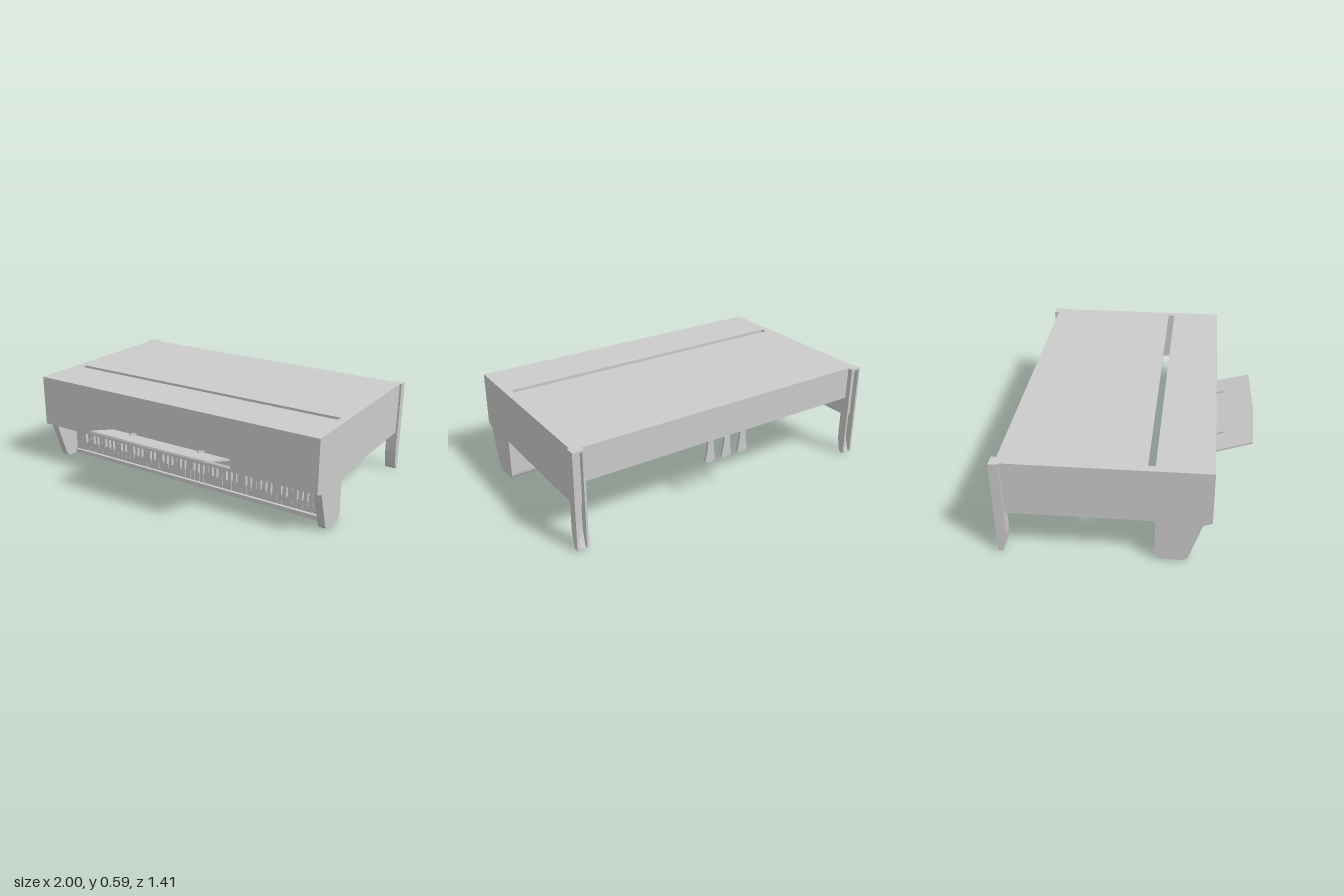
import * as THREE from 'three';

const material = new THREE.MeshStandardMaterial({ color: 0xcccccc, flatShading: true, side: THREE.DoubleSide });

export function createModel() {
  const root = new THREE.Group();

  const add = (name, geometry, parent = root) => {
    const mesh = new THREE.Mesh(geometry, material);
    mesh.name = name;
    parent.add(mesh);
    return mesh;
  };
  // box given by its lower and upper corners
  const box = (name, x0, x1, y0, y1, z0, z1, parent) => add(name,
    new THREE.BoxGeometry(x1 - x0, y1 - y0, z1 - z0)
      .translate((x0 + x1) / 2, (y0 + y1) / 2, (z0 + z1) / 2), parent);
  // side profile drawn as (z, y), extruded from x0 to x1
  const extrudeX = (name, shape, x0, x1, parent) => add(name,
    new THREE.ExtrudeGeometry(shape, { depth: x1 - x0, bevelEnabled: false, curveSegments: 8 })
      .rotateY(-Math.PI / 2).translate(x1, 0, 0), parent);
  const polygon = (points) => new THREE.Shape(points.map(([x, y]) => new THREE.Vector2(x, y)));

  // top sheet with a long slot
  const top = polygon([[-0.985, -0.47], [0.985, -0.47], [0.985, 0.68], [-0.985, 0.68]]);
  top.holes.push(polygon([[-0.94, -0.16], [-0.94, -0.12], [0.94, -0.12], [0.94, -0.16]]));
  add('topSheet', new THREE.ExtrudeGeometry(top, { depth: 0.015, bevelEnabled: false })
    .rotateX(-Math.PI / 2).translate(0, 0.575, 0));

  // side panels with the cheeks that enclose the keyboard
  const side = new THREE.Shape();
  side.moveTo(-0.68, 0.59);
  side.lineTo(-0.68, 0.265);
  side.lineTo(0.163, 0.265);
  side.lineTo(0.163, 0.04);
  side.quadraticCurveTo(0.163, 0.003, 0.2, 0.003);
  side.lineTo(0.31, 0.003);
  side.quadraticCurveTo(0.338, 0.003, 0.35, 0.035);
  side.lineTo(0.415, 0.235);
  side.quadraticCurveTo(0.422, 0.258, 0.445, 0.258);
  side.lineTo(0.47, 0.27);
  side.lineTo(0.47, 0.59);
  extrudeX('leftSide', side, 0.942, 0.988);
  extrudeX('rightSide', side, -0.988, -0.942);

  // panels between the sides
  box('frontPanel', -0.985, 0.985, 0.27, 0.59, 0.45, 0.47);
  box('keyboardBack', -0.985, 0.985, 0.04, 0.585, 0.163, 0.18);
  box('backRail', -0.945, 0.945, 0.39, 0.59, -0.68, -0.6);

  // moulding and cove over the keys
  const cove = new THREE.Shape();
  cove.moveTo(0.17, 0.28);
  cove.lineTo(0.17, 0.22);
  cove.lineTo(0.26, 0.22);
  cove.quadraticCurveTo(0.28, 0.25, 0.41, 0.25);
  cove.lineTo(0.42, 0.258);
  cove.lineTo(0.445, 0.258);
  cove.lineTo(0.47, 0.27);
  cove.lineTo(0.47, 0.28);
  extrudeX('keyCove', cove, -0.985, 0.985);

  // key bed with a rounded rear edge
  const bed = new THREE.Shape();
  bed.moveTo(0.163, 0.05);
  bed.quadraticCurveTo(0.163, 0.003, 0.2, 0.003);
  bed.lineTo(0.26, 0.003);
  bed.lineTo(0.26, 0.03);
  bed.lineTo(0.18, 0.03);
  bed.lineTo(0.18, 0.05);
  extrudeX('keyBed', bed, -0.945, 0.945);

  // keys: 52 white ones, and black ones grouped in twos and threes
  const keys = new THREE.Group();
  keys.name = 'keys';
  root.add(keys);
  const pitch = 0.0341, start = -0.879;
  box('keyBlock', -0.945, start, 0.03, 0.22, 0.18, 0.245, keys);
  box('keyBlock', start + 52 * pitch, 0.945, 0.03, 0.22, 0.18, 0.245, keys);
  for (let i = 0; i < 52; i++) {
    const x = start + i * pitch;
    box('whiteKey', x + 0.0006, x + pitch - 0.0006, 0.032, 0.22, 0.18, 0.245, keys);
    // the white keys begin at A, so C and F have no black key before them
    if (i > 0 && i < 51 && i % 7 !== 2 && i % 7 !== 5) {
      box('blackKey', x - 0.0065, x + 0.0065, 0.1, 0.22, 0.24, 0.265, keys);
    }
  }

  // sloping music rest with two pins and a ledge below it
  const rest = new THREE.Group();
  rest.name = 'musicRest';
  rest.position.set(0.012, 0.335, 0.465);
  rest.rotation.x = -0.284;
  root.add(rest);
  const board = polygon([[-0.425, 0], [0.425, 0], [0.412, -0.235], [0, -0.25], [-0.412, -0.235]]);
  add('restBoard', new THREE.ExtrudeGeometry(board, { depth: 0.011, bevelEnabled: false })
    .rotateX(-Math.PI / 2), rest);
  for (const x of [-0.248, 0.248]) {
    box('restPin', x - 0.007, x + 0.007, 0.011, 0.022, 0, 0.065, rest);
  }
  extrudeX('restLedge', polygon([[0.465, 0.29], [0.472, 0.29], [0.484, 0.296], [0.479, 0.304], [0.465, 0.304]]), -0.418, 0.442);

  // rear legs: channels open at the back, curved near the foot
  const legSide = new THREE.Shape();
  legSide.moveTo(-0.71, 0.59);
  legSide.lineTo(-0.71, 0.005);
  legSide.lineTo(-0.682, 0.005);
  legSide.quadraticCurveTo(-0.655, 0.07, -0.655, 0.15);
  legSide.lineTo(-0.655, 0.59);
  const legFront = new THREE.Shape();
  legFront.moveTo(-0.67, 0.59);
  legFront.lineTo(-0.67, 0.15);
  legFront.quadraticCurveTo(-0.67, 0.07, -0.697, 0.005);
  legFront.lineTo(-0.682, 0.005);
  legFront.quadraticCurveTo(-0.655, 0.07, -0.655, 0.15);
  legFront.lineTo(-0.655, 0.59);
  for (const s of [1, -1]) {
    const leg = new THREE.Group();
    leg.name = s > 0 ? 'leftLeg' : 'rightLeg';
    leg.position.x = s * 0.965;
    root.add(leg);
    extrudeX('legWall', legSide, -0.035, -0.022, leg);
    extrudeX('legWall', legSide, 0.022, 0.035, leg);
    extrudeX('legFront', legFront, -0.022, 0.022, leg);
    box('legCap', -0.022, 0.022, 0.578, 0.59, -0.71, -0.67, leg);
  }

  // three flared pedals under the back rail
  const pedal = new THREE.Shape();
  pedal.moveTo(-0.018, 0.4);
  pedal.quadraticCurveTo(-0.02, 0.32, -0.034, 0.27);
  pedal.quadraticCurveTo(-0.034, 0.25, 0, 0.248);
  pedal.quadraticCurveTo(0.034, 0.25, 0.034, 0.27);
  pedal.quadraticCurveTo(0.02, 0.32, 0.018, 0.4);
  for (const x of [-0.115, 0, 0.115]) {
    add('pedal', new THREE.ExtrudeGeometry(pedal, { depth: 0.015, bevelEnabled: false, curveSegments: 6 })
      .translate(x, 0, -0.672));
  }

  return root;
}
